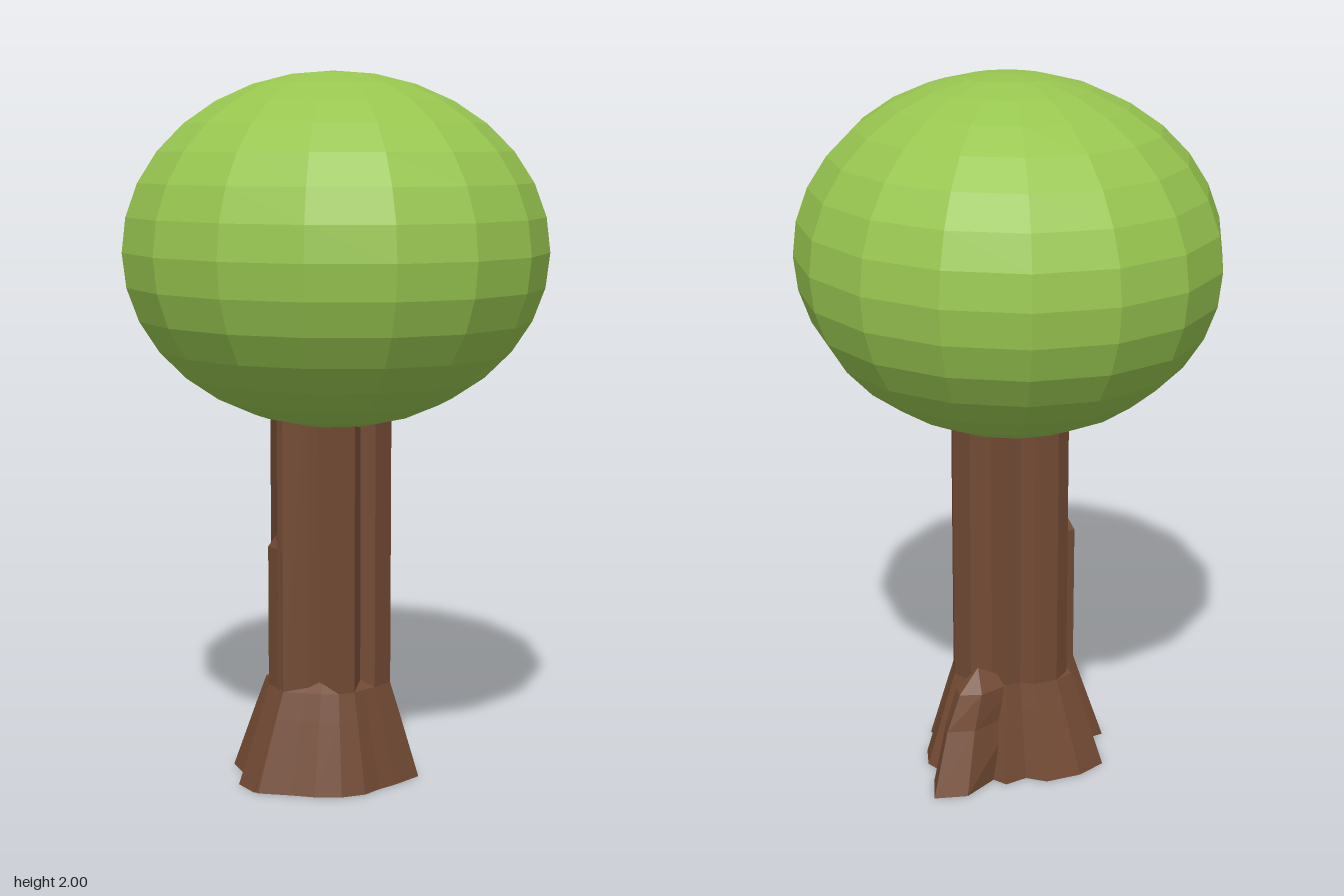
import * as THREE from 'three';

const bark = new THREE.MeshStandardMaterial({ color: 0x724a34 });
bark.name = 'bark brown';
bark.flatShading = true;
const leaf = new THREE.MeshStandardMaterial({ color: 0x98c650 });
leaf.name = 'leaf green';
leaf.flatShading = true;

// Faceted loft through rings { y, pts: [[x, z], ...] } listed from bottom to top;
// the top cap rises to peakY at the ring's middle.
function loft(name, rings, peakY) {
  const pos = [];
  const ring3 = rings.map(r => r.pts.map(([x, z]) => [x, r.y, z]));
  const tri = (a, b, c) => pos.push(...a, ...b, ...c);
  const middle = (ring, y) => {
    const sum = ring.reduce((s, p) => [s[0] + p[0], s[1] + p[2]], [0, 0]);
    return [sum[0] / ring.length, y, sum[1] / ring.length];
  };
  const n = ring3[0].length, top = ring3[ring3.length - 1];
  const low = middle(ring3[0], rings[0].y), high = middle(top, peakY);
  for (let i = 0; i < n; i++) {
    const k = (i + 1) % n;
    for (let j = 0; j < ring3.length - 1; j++) {
      const a = ring3[j], b = ring3[j + 1];
      tri(a[i], b[i], a[k]);
      tri(b[i], b[k], a[k]);
    }
    tri(low, ring3[0][i], ring3[0][k]);
    tri(high, top[k], top[i]);
  }
  const geo = new THREE.BufferGeometry();
  geo.setAttribute('position', new THREE.Float32BufferAttribute(pos, 3));
  geo.computeVertexNormals();
  const mesh = new THREE.Mesh(geo, bark);
  mesh.name = name;
  return mesh;
}

const scaled = (pts, sx, sz) => pts.map(([x, z]) => [x * sx, z * sz]);

export function createModel() {
  const group = new THREE.Group();
  group.name = 'tree';

  // Grooved trunk column
  const section = [
    [0.143, 0.03], [0.13, 0.075], [0.072, 0.1], [0.06, 0.13], [0.02, 0.188],
    [-0.005, 0.19], [-0.06, 0.155], [-0.145, 0.115], [-0.17, 0.07], [-0.165, 0],
    [-0.135, -0.03], [-0.14, -0.075], [-0.09, -0.1], [-0.07, -0.155], [0, -0.175],
    [0.05, -0.155], [0.06, -0.12], [0.12, -0.115], [0.132, -0.05], [0.11, -0.015],
  ];
  group.add(loft('trunk', [{ y: 0.2, pts: section }, { y: 1.2, pts: section }], 1.2));

  // Flared foot, filling the front-left groove with a sloping ledge
  const foot = section.map(p => [...p]);
  foot[2] = [0.1, 0.115];
  foot[3] = [0.065, 0.145];
  foot[7] = [-0.15, 0.13];
  foot[19] = [0.135, -0.01];
  group.add(loft('flaredFoot', [
    { y: 0, pts: scaled(foot, 1.5, 1.5) },
    { y: 0.2, pts: scaled(foot, 1.14, 1.14) },
    { y: 0.275, pts: foot },
  ], 0.4));

  // Stub root leaning out at the back
  const inner = [[-0.02, -0.12], [-0.12, -0.03]];
  group.add(loft('backRoot', [
    { y: 0, pts: [...inner, [-0.22, -0.24], [-0.19, -0.33], [-0.1, -0.29]] },
    { y: 0.17, pts: [...inner, [-0.165, -0.19], [-0.14, -0.265], [-0.08, -0.24]] },
    { y: 0.27, pts: [...inner, [-0.15, -0.16], [-0.125, -0.218], [-0.075, -0.205]] },
  ], 0.33));

  // Tall thin ridge up the front
  const ridge = [[0.018, 0.15], [0.015, 0.189], [-0.055, 0.186], [-0.06, 0.13]];
  group.add(loft('frontRidge', [
    { y: 0, pts: scaled(ridge, 1.2, 1.52) },
    { y: 0.2, pts: scaled(ridge, 1, 1.15) },
    { y: 0.28, pts: ridge },
    { y: 0.68, pts: ridge },
  ], 0.74));

  // Faceted crown
  const crown = new THREE.Mesh(new THREE.SphereGeometry(1, 16, 16), leaf);
  crown.name = 'crown';
  crown.geometry.scale(0.623, 0.492, 0.582);
  crown.geometry.translate(0, 1.508, 0);
  crown.geometry = crown.geometry.toNonIndexed();
  crown.geometry.computeVertexNormals();
  group.add(crown);

  return group;
}
